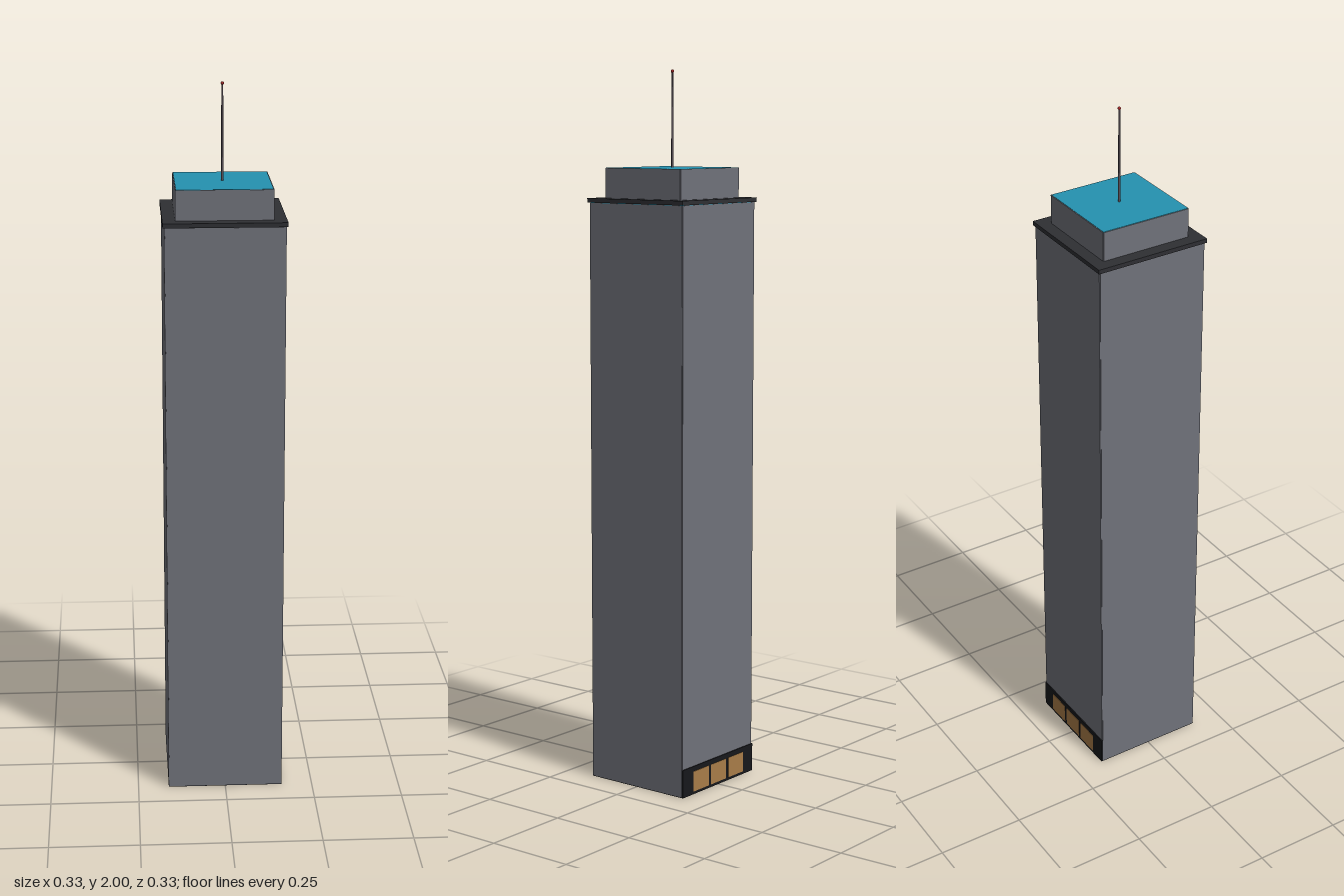
import * as THREE from 'three';

const mat = (color) => new THREE.MeshStandardMaterial({ color });

export function createModel() {
  const group = new THREE.Group();
  const facade = mat(0x70727a), teal = mat(0x2592b0), dark = mat(0x2e2f33);
  const black = mat(0x17181b), gold = mat(0xa87c48), steel = mat(0x5a5058), red = mat(0xa02828);

  const add = (name, geometry, material, x, y, z, parent = group) => {
    const mesh = new THREE.Mesh(geometry, material);
    mesh.name = name;
    mesh.position.set(x, y, z);
    parent.add(mesh);
    return mesh;
  };
  // Box placed by its bottom and top heights
  const box = (name, w, y0, y1, d, material, x = 0, z = 0) =>
    add(name, new THREE.BoxGeometry(w, y1 - y0, d), material, x, (y0 + y1) / 2, z);

  // Glass core wrapped by four thin facade panels, leaving slim glass corners
  const block = (name, half, y0, y1) => {
    const t = 0.002;
    box(name + 'Core', 2 * (half - t), y0, y1, 2 * (half - t), teal);
    for (let i = 0; i < 4; i++) {
      const pivot = new THREE.Group();
      pivot.name = name + 'Facade';
      pivot.rotation.y = i * Math.PI / 2;
      group.add(pivot);
      add(name + 'Panel', new THREE.BoxGeometry(2 * (half - t), y1 - y0 - 0.001, t),
        facade, 0, (y0 + y1 - 0.001) / 2, half - t / 2, pivot);
    }
  };

  // Main shaft on a dark base
  box('basePlate', 0.325, 0, 0.002, 0.325, dark);
  block('tower', 0.163, 0.002, 1.638);

  // Roof ledge and set-back top storey
  box('roofLedge', 0.334, 1.638, 1.65, 0.334, dark);
  block('penthouse', 0.132, 1.65, 1.733);

  // Entrance strip with three lit windows on the back
  box('entranceStrip', 0.325, 0, 0.08, 0.005, black, 0, -0.1635);
  for (const i of [-1, 0, 1]) {
    box('entranceWindow', 0.07, 0.008, 0.066, 0.002, gold, i * 0.081, -0.1662);
  }

  // Mast with a red beacon
  add('mast', new THREE.CylinderGeometry(0.0025, 0.0035, 0.265, 8), steel, 0, 1.8645, 0);
  add('beacon', new THREE.SphereGeometry(0.0045, 12, 8), red, 0, 1.9955, 0);

  return group;
}
